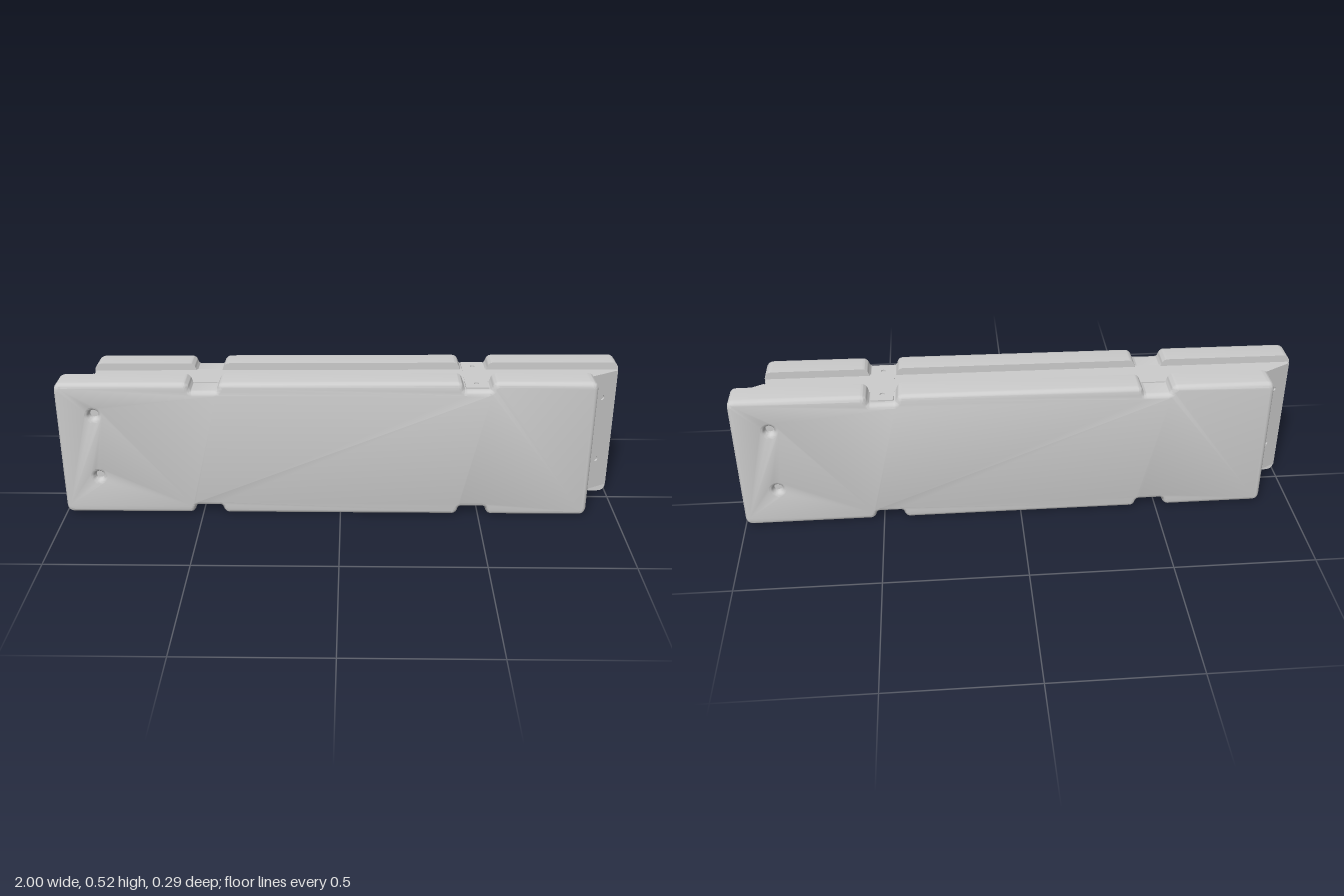
import * as THREE from 'three';
import { toCreasedNormals } from 'three/addons/utils/BufferGeometryUtils.js';

const material = new THREE.MeshStandardMaterial({ color: 0xcccccc });
const HEIGHT = 0.515, HALF_DEPTH = 0.146, INNER = 0.05;
const HOLE_Y = [0.152, 0.396];

// The whole block is slightly taller towards +x
function addPart(group, name, geometry) {
  const p = geometry.attributes.position;
  for (let i = 0; i < p.count; i++) {
    const y = p.getY(i);
    p.setY(i, y + 0.008 * p.getX(i) * y / HEIGHT);
  }
  const mesh = new THREE.Mesh(toCreasedNormals(geometry, 0.7), material);
  mesh.name = name;
  group.add(mesh);
}

// Closed outline whose corners [x, y, radius] are rounded
function roundedShape(points) {
  const shape = new THREE.Shape();
  points.forEach(([x, y, r], i) => {
    const c = new THREE.Vector2(x, y);
    const toward = ([px, py]) =>
      new THREE.Vector2(px, py).sub(c).setLength(r).add(c);
    const a = toward(points[(i + points.length - 1) % points.length]);
    const b = toward(points[(i + 1) % points.length]);
    if (i === 0) shape.moveTo(a.x, a.y);
    else shape.lineTo(a.x, a.y);
    shape.quadraticCurveTo(c.x, c.y, b.x, b.y);
  });
  shape.closePath();
  return shape;
}

function addHole(shape, x, y, r) {
  shape.holes.push(new THREE.Path().absarc(x, y, r, 0, Math.PI * 2, true));
}

// Outer slab with strap notches; rounded outside, flat towards the core
function slabGeometry() {
  const x0 = -1, x1 = 0.893, notch = 0.031;
  const bottom = [[x0, 0, 0.03]], top = [[x1, HEIGHT, 0.03]];
  for (const c of [-0.477, 0.477]) {
    bottom.push([c - 0.056, 0, 0.018], [c - 0.046, notch, 0.01],
      [c + 0.046, notch, 0.01], [c + 0.056, 0, 0.018]);
  }
  for (const c of [0.477, -0.477]) {
    top.push([c + 0.056, HEIGHT, 0.018], [c + 0.046, HEIGHT - notch, 0.01],
      [c - 0.046, HEIGHT - notch, 0.01], [c - 0.056, HEIGHT, 0.018]);
  }
  bottom.push([x1, 0, 0.03]);
  top.push([x0, HEIGHT, 0.03]);
  const shape = roundedShape([...bottom, ...top]);
  for (const y of HOLE_Y) addHole(shape, -0.868, y, 0.015);

  const bevel = 0.022;
  const geometry = new THREE.ExtrudeGeometry(shape, {
    depth: HALF_DEPTH - INNER - bevel, bevelThickness: bevel,
    bevelSize: 0.016, bevelOffset: -0.016, bevelSegments: 4, curveSegments: 8,
  });
  const p = geometry.attributes.position;
  for (let i = 0; i < p.count; i++) p.setZ(i, Math.max(p.getZ(i), 0));
  return geometry.translate(0, 0, INNER);
}

// Thin plate with small holes, used where pin holes enter a face
function plateGeometry(width, height, holes) {
  const w = width / 2, h = height / 2;
  const shape = new THREE.Shape([
    new THREE.Vector2(-w, -h), new THREE.Vector2(w, -h),
    new THREE.Vector2(w, h), new THREE.Vector2(-w, h),
  ]);
  for (const [x, y] of holes) addHole(shape, x, y, 0.009);
  return new THREE.ExtrudeGeometry(shape,
    { depth: 0.006, bevelEnabled: false, curveSegments: 8 });
}

export function createModel() {
  const model = new THREE.Group();
  model.name = 'interlockingBlock';

  // Core: sets the long channels and the slanted ends
  const y0 = 0.034, y1 = 0.488;
  const half = [[0.888, 0.06], [0.888, 0.015], [0.995, -0.045], [0.995, -0.06]];
  const plan = [...half, ...half.map(([x, z]) => [-x, -z])];
  const coreShape = new THREE.Shape(plan.map(([x, z]) => new THREE.Vector2(x, -z)));
  const core = new THREE.ExtrudeGeometry(coreShape,
    { depth: y1 - y0, bevelEnabled: false });
  core.rotateX(-Math.PI / 2).translate(0, y0, 0);
  addPart(model, 'core', core);

  // Everything on the front and right repeats, turned half a circle
  for (const [side, turn] of [['front', 0], ['back', Math.PI]]) {
    addPart(model, side + 'Slab', slabGeometry().rotateY(turn));

    for (const y of HOLE_Y) {
      const floor = new THREE.CircleGeometry(0.017, 16);
      floor.translate(-0.868, y, HALF_DEPTH - 0.025).rotateY(turn);
      addPart(model, side + 'HoleFloor', floor);
    }

    const mid = (y0 + y1) / 2;
    const endPlate = plateGeometry(0.122, y1 - y0, HOLE_Y.map((y) => [0, y - mid]));
    endPlate.rotateY(Math.atan2(0.06, 0.107)).translate(0.9415, mid, -0.015);
    addPart(model, side + 'SlantedEnd', endPlate.rotateY(turn));
  }

  // Pin holes in the right strap groove, above and below
  for (const [name, tilt, y] of [['topGroovePlate', -1, 0.483], ['bottomGroovePlate', 1, 0.035]]) {
    const plate = plateGeometry(0.08, 0.24, [[0, -0.08], [0, 0.08]]);
    plate.rotateX(tilt * Math.PI / 2).translate(0.477, y, 0);
    addPart(model, name, plate);
  }
  return model;
}
